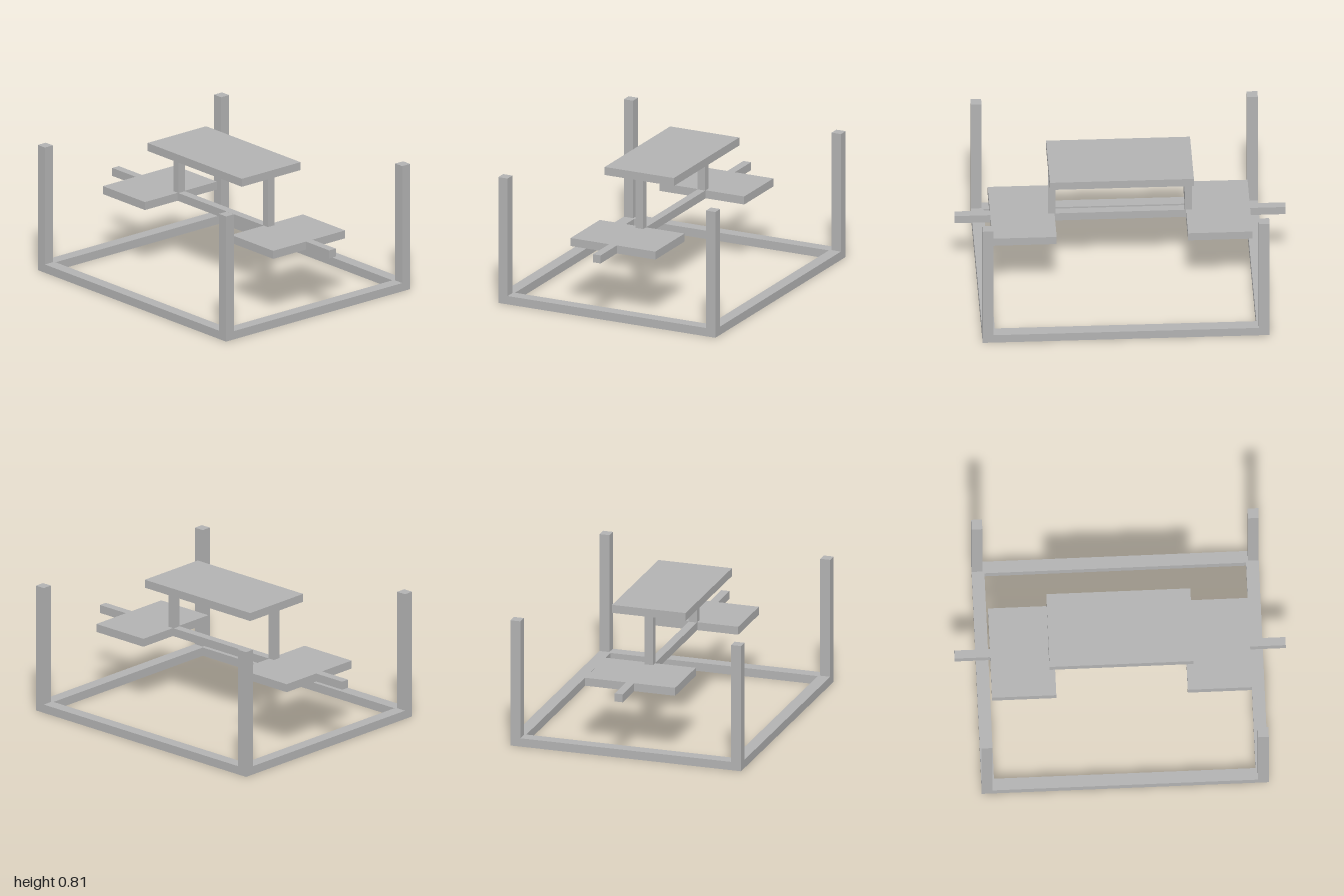
import * as THREE from 'three';

export function createModel() {
  const model = new THREE.Group();
  model.name = 'framedTableWithSeats';
  const grey = new THREE.MeshStandardMaterial({ color: 0xb2b2b2 });
  grey.name = 'grey';

  // Box given by its lower and upper limits on each axis
  function box(name, [x0, x1], [y0, y1], [z0, z1]) {
    const mesh = new THREE.Mesh(new THREE.BoxGeometry(x1 - x0, y1 - y0, z1 - z0), grey);
    mesh.position.set((x0 + x1) / 2, (y0 + y1) / 2, (z0 + z1) / 2);
    mesh.name = name;
    model.add(mesh);
  }
  const mirror = ([a, b], s) => (s > 0 ? [a, b] : [-b, -a]);

  // Rectangular floor frame with an open middle
  const rect = (P, x, z) => new P([[-x, -z], [x, -z], [x, z], [-x, z]].map(p => new THREE.Vector2(...p)));
  const outline = rect(THREE.Shape, 0.867, 0.735);
  outline.holes.push(rect(THREE.Path, 0.79, 0.66));
  const frameGeometry = new THREE.ExtrudeGeometry(outline, { depth: 0.053, bevelEnabled: false });
  frameGeometry.rotateX(-Math.PI / 2);
  const frame = new THREE.Mesh(frameGeometry, grey);
  frame.name = 'floorFrame';
  model.add(frame);

  // Corner posts standing on the frame
  for (const sx of [-1, 1])
    for (const sz of [-1, 1])
      box('cornerPost', mirror([0.802, 0.867], sx), [0.053, 0.8], mirror([0.672, 0.735], sz));

  // Central beam, seats, beam ends and table supports
  const level = [0.405, 0.456];
  const thin = [-0.026, 0.026];
  box('centreBeam', [-0.397, 0.397], level, thin);
  for (const s of [-1, 1]) {
    const side = s > 0 ? 'left' : 'right';
    box(side + 'Seat', mirror([0.397, 0.785], s), level, [-0.287, 0.287]);
    box(side + 'BeamEnd', mirror([0.785, 1], s), level, thin);
    box(side + 'TableSupport', mirror([0.39, 0.435], s), [0.456, 0.761], thin);
  }

  // Raised table top
  box('tableTop', [-0.435, 0.435], [0.761, 0.812], [-0.234, 0.234]);

  return model;
}
